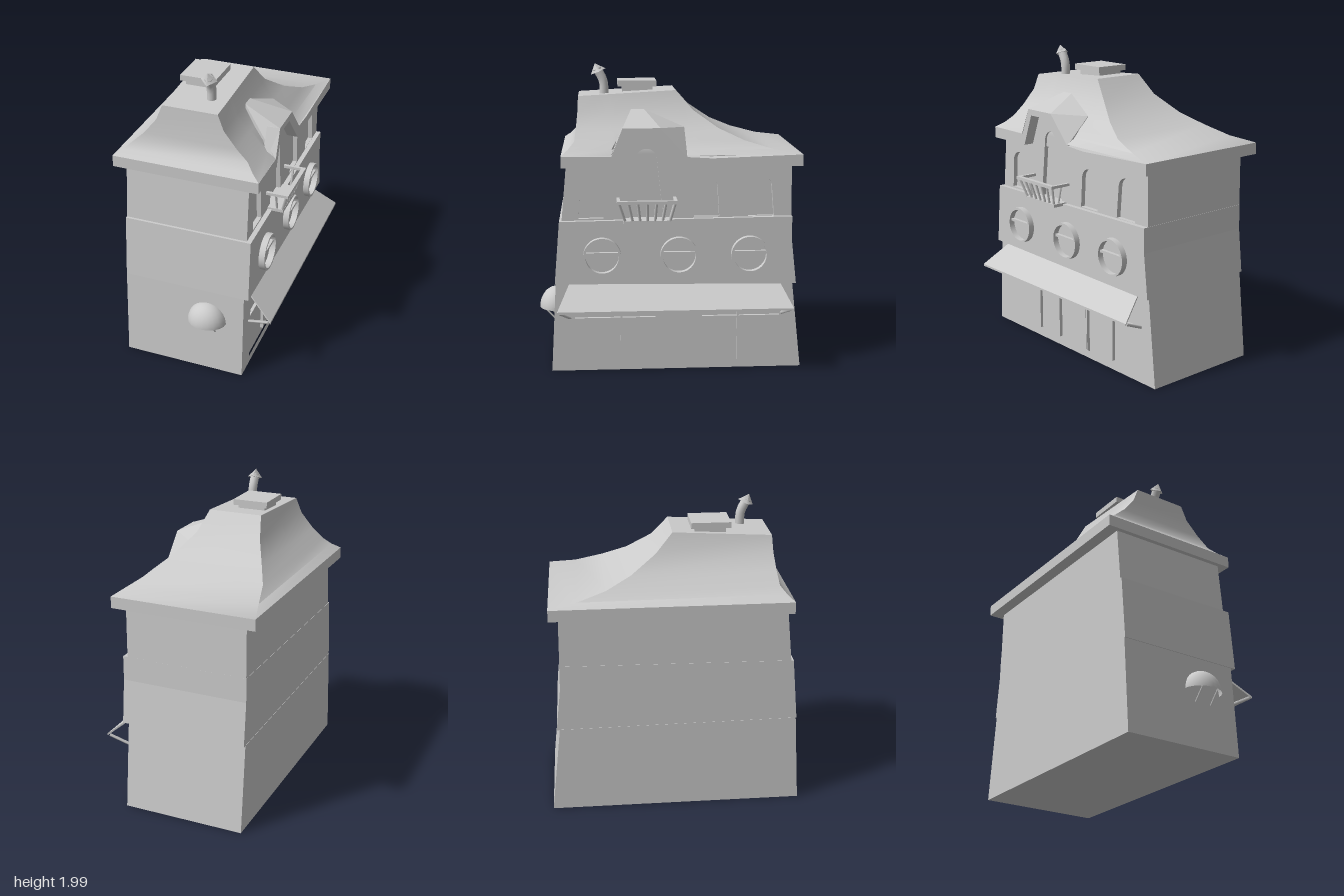
import * as THREE from 'three';
import { toCreasedNormals } from 'three/addons/utils/BufferGeometryUtils.js';

const mat = new THREE.MeshStandardMaterial({ color: 0xcccccc });
const thin = new THREE.MeshStandardMaterial({ color: 0xcccccc, side: THREE.DoubleSide });
const V = (x, y, z) => new THREE.Vector3(x, y, z);

export function createModel() {
  const root = new THREE.Group();
  const add = (name, geo, material = mat) => {
    const m = new THREE.Mesh(geo, material);
    m.name = name;
    root.add(m);
    return m;
  };
  const box = (name, x0, x1, y0, y1, z0, z1) =>
    add(name, new THREE.BoxGeometry(x1 - x0, y1 - y0, z1 - z0)
      .translate((x0 + x1) / 2, (y0 + y1) / 2, (z0 + z1) / 2));
  // Outline given as [z, y], extruded along x from x0 to x1
  const slab = (name, pts, x0, x1, holes = []) => {
    const shape = new THREE.Shape(pts.map(p => new THREE.Vector2(...p)));
    shape.holes = holes;
    const g = new THREE.ExtrudeGeometry(shape, { depth: x1 - x0, bevelEnabled: false, curveSegments: 16 });
    return add(name, g.rotateY(-Math.PI / 2).translate(x1, 0, 0));
  };
  // Square bar between two points
  const beam = (name, a, b, r) => {
    const d = b.clone().sub(a);
    const m = add(name, new THREE.CylinderGeometry(r, r, d.length(), 4));
    m.position.copy(a).addScaledVector(d, 0.5);
    m.quaternion.setFromUnitVectors(V(0, 1, 0), d.normalize());
    return m;
  };
  const polyHole = pts => new THREE.Path(pts.map(p => new THREE.Vector2(...p)));
  // Arched opening, a little narrower at the spring line
  const arch = (zc, w, y0, top, pinch) => {
    const r = w * pinch, p = new THREE.Path();
    p.moveTo(zc - w, y0);
    p.lineTo(zc + w, y0);
    p.lineTo(zc + r, top - r);
    p.absarc(zc, top - r, r, 0, Math.PI, false);
    p.lineTo(zc - w, y0);
    return p;
  };

  // Ground floor: solid core plus pierced shop front
  const ground = [[0.785, 0], [-0.865, 0], [-0.8, 0.585], [0.75, 0.6]];
  slab('groundFloor', ground, -0.46, 0.325);
  slab('shopFront', ground, 0.325, 0.355, [
    polyHole([[0.645, 0.05], [0.1, 0.05], [0.1, 0.52], [0.62, 0.52]]),
    polyHole([[0.09, 0.03], [-0.195, 0.03], [-0.195, 0.52], [0.09, 0.52]]),
    polyHole([[-0.205, 0.05], [-0.75, 0.05], [-0.7, 0.52], [-0.205, 0.52]]),
  ]);
  for (const [z0, z1, zm] of [[0.1, 0.63, 0.325], [-0.73, -0.205, -0.445]]) {
    box('shopMullion', 0.325, 0.345, 0.05, 0.52, zm - 0.006, zm + 0.006);
    box('shopTransom', 0.325, 0.345, 0.34, 0.355, z0, z1);
  }
  box('shopDoor', 0.325, 0.338, 0.04, 0.5, -0.17, 0.07);

  // Middle floor, standing slightly proud on the facade
  slab('middleFloor', [[0.755, 0.6], [-0.82, 0.58], [-0.787, 0.87], [-0.785, 1.03], [0.72, 1.012]], -0.458, 0.386);
  for (const z of [0.447, -0.05, -0.51]) {
    const ring = new THREE.Shape().absarc(0, 0, 0.122, 0, Math.PI * 2);
    ring.holes.push(new THREE.Path().absarc(0, 0, 0.107, 0, Math.PI * 2, true));
    const g = new THREE.ExtrudeGeometry(ring, { depth: 0.042, bevelEnabled: false, curveSegments: 24 });
    add('roundWindowFrame', toCreasedNormals(g.rotateY(-Math.PI / 2).translate(0.426, 0.785, z), 0.6));
    box('roundWindowBar', 0.386, 0.41, 0.793, 0.81, z - 0.108, z + 0.108);
  }

  // Upper floor with gabled facade and arched recesses
  slab('upperFloor', [[0.705, 1.0], [-0.785, 1.0], [-0.78, 1.37], [0.67, 1.37]], -0.456, 0.325);
  slab('gableBacking', [[0.36, 1.36], [-0.06, 1.36], [0.12, 1.58], [0.28, 1.58]], 0.3, 0.325);
  slab('upperFacade', [[0.705, 1.0], [-0.785, 1.0], [-0.78, 1.37], [-0.06, 1.37],
    [0.12, 1.58], [0.28, 1.58], [0.36, 1.37], [0.67, 1.37]], 0.325, 0.355, [
    arch(0.515, 0.08, 1.025, 1.28, 0.87), arch(0.157, 0.108, 1.025, 1.475, 0.62),
    arch(-0.232, 0.082, 1.03, 1.29, 0.85), arch(-0.585, 0.085, 1.03, 1.295, 0.8),
  ]);

  // Eaves: plain slab plus a front band that climbs over the gable
  box('eaves', -0.535, 0.34, 1.365, 1.44, -0.84, 0.7);
  slab('frontEaveBand', [[0.7, 1.365], [0.36, 1.365], [0.28, 1.575], [0.12, 1.575], [-0.065, 1.365], [-0.84, 1.365],
    [-0.84, 1.44], [-0.26, 1.42], [-0.1, 1.43], [0.07, 1.615], [0.31, 1.615], [0.38, 1.437], [0.7, 1.44]], 0.34, 0.425);

  // Concave mansard roof: rings of [yFront, yBack, xMin, xMax, zMin, zMax]
  const rings = [
    [1.44, 1.44, -0.535, 0.425, -0.84, 0.7],
    [1.475, 1.467, -0.48, 0.37, -0.66, 0.655],
    [1.52, 1.52, -0.43, 0.325, -0.475, 0.615],
    [1.59, 1.59, -0.355, 0.25, -0.315, 0.605],
    [1.69, 1.7, -0.275, 0.165, -0.155, 0.595],
    [1.79, 1.825, -0.235, 0.125, -0.045, 0.59],
  ].map(([yf, yb, x0, x1, z0, z1]) => {
    const xi = Math.min(x1, 0.34); // cut back behind the gable
    return [[x1, z1], [x1, 0.38], [xi, 0.35], [xi, -0.06], [x1, -0.1], [x1, z0], [x0, z0], [x0, z1]].map(([x, zz]) => {
      const z = THREE.MathUtils.clamp(zz, z0, z1);
      return V(x, THREE.MathUtils.mapLinear(z, z0, z1, yb, yf), z);
    });
  });
  const roof = [], n = rings[0].length;
  for (let i = 0; i < rings.length - 1; i++) {
    for (let j = 0; j < n; j++) {
      const a = rings[i][j], b = rings[i][(j + 1) % n], c = rings[i + 1][(j + 1) % n], d = rings[i + 1][j];
      roof.push(a, b, c, a, c, d);
    }
  }
  const top = rings[rings.length - 1];
  for (let j = 1; j < n - 1; j++) roof.push(top[0], top[j], top[j + 1]);
  add('roof', toCreasedNormals(new THREE.BufferGeometry().setFromPoints(roof), 0.6), thin);

  // Dormer roof over the gable
  const A = V(0.425, 1.437, 0.385), B = V(0.425, 1.615, 0.31), C = V(0.425, 1.615, 0.07), D = V(0.425, 1.43, -0.1);
  const B2 = V(0.175, 1.71, 0.248), C2 = V(0.175, 1.71, 0.165), D2 = V(0.245, 1.6, -0.092);
  const A3 = V(0.175, 1.45, 0.248), D3 = V(0.245, 1.45, -0.092);
  const dormer = new THREE.BufferGeometry().setFromPoints([
    A, B2, B, B, B2, C2, B, C2, C, C, C2, D2, C, D2, D, // slopes
    A, A3, B2, D, D2, D3, // cheeks
  ]);
  // Reverse every triangle so the fronts face outwards
  const pos = dormer.attributes.position;
  for (let i = 0; i < pos.count; i += 3) {
    const p = V().fromBufferAttribute(pos, i + 1), q = V().fromBufferAttribute(pos, i + 2);
    pos.setXYZ(i + 1, q.x, q.y, q.z);
    pos.setXYZ(i + 2, p.x, p.y, p.z);
  }
  dormer.computeVertexNormals();
  add('dormerRoof', dormer, thin);

  // Roof hatch
  box('hatchBase', -0.2, -0.015, 1.78, 1.845, 0.1, 0.3);
  box('hatchLid', -0.225, 0.01, 1.84, 1.878, 0.075, 0.33);

  // Bent stovepipe with pointed cap
  const bend = new THREE.CatmullRomCurve3([V(0.02, 1.78, 0.42), V(0.02, 1.88, 0.425), V(0.02, 1.96, 0.465)]);
  add('stovepipe', new THREE.TubeGeometry(bend, 6, 0.03, 10), thin);
  const cap = add('stovepipeCap', new THREE.ConeGeometry(0.053, 0.058, 4));
  cap.position.set(0.02, 1.967, 0.468);
  cap.rotation.x = 0.4;

  // Sloping awning, flared towards its outer edge
  const awning = new THREE.BoxGeometry(1, 1, 1), ap = awning.attributes.position;
  for (let i = 0; i < ap.count; i++) {
    const t = ap.getX(i) + 0.5, s = ap.getZ(i) + 0.5;
    ap.setXYZ(i, 0.352 + 0.178 * t, 0.592 - 0.145 * t + 0.014 * ap.getY(i),
      THREE.MathUtils.lerp(-0.71 - 0.075 * t, 0.66 + 0.078 * t, s));
  }
  awning.computeVertexNormals();
  add('awning', awning);
  beam('awningStrut', V(0.515, 0.445, 0.73), V(0.35, 0.36, 0.66), 0.01);
  beam('awningStrut', V(0.515, 0.445, -0.775), V(0.35, 0.37, -0.73), 0.01);

  // Balcony with outward-leaning balusters
  box('balconyFloor', 0.35, 0.46, 1.008, 1.028, 0, 0.31);
  box('balconyRail', 0.475, 0.503, 1.143, 1.163, -0.033, 0.35);
  for (const [zr, zf] of [[0.34, 0.297], [-0.023, 0.013]]) {
    box('balconySideRail', 0.35, 0.5, 1.145, 1.163, zr - 0.01, zr + 0.01);
    beam('balconySidePost', V(0.415, 1.02, zf), V(0.418, 1.15, zr), 0.008);
  }
  for (let i = 0; i < 7; i++) {
    const t = i / 6;
    beam('baluster', V(0.45, 1.02, 0.013 + 0.284 * t), V(0.488, 1.15, -0.02 + 0.357 * t), 0.009);
  }

  // Domed canopy on the end wall
  add('domeCanopy', new THREE.SphereGeometry(1, 20, 8, 0, Math.PI * 2, 0, Math.PI / 2)
    .scale(0.131, 0.135, 0.112).translate(0.108, 0.375, 0.756), thin);
  for (const x of [0.05, 0.165]) beam('canopyStrut', V(x, 0.38, 0.835), V(x, 0.295, 0.76), 0.006);

  return root;
}
